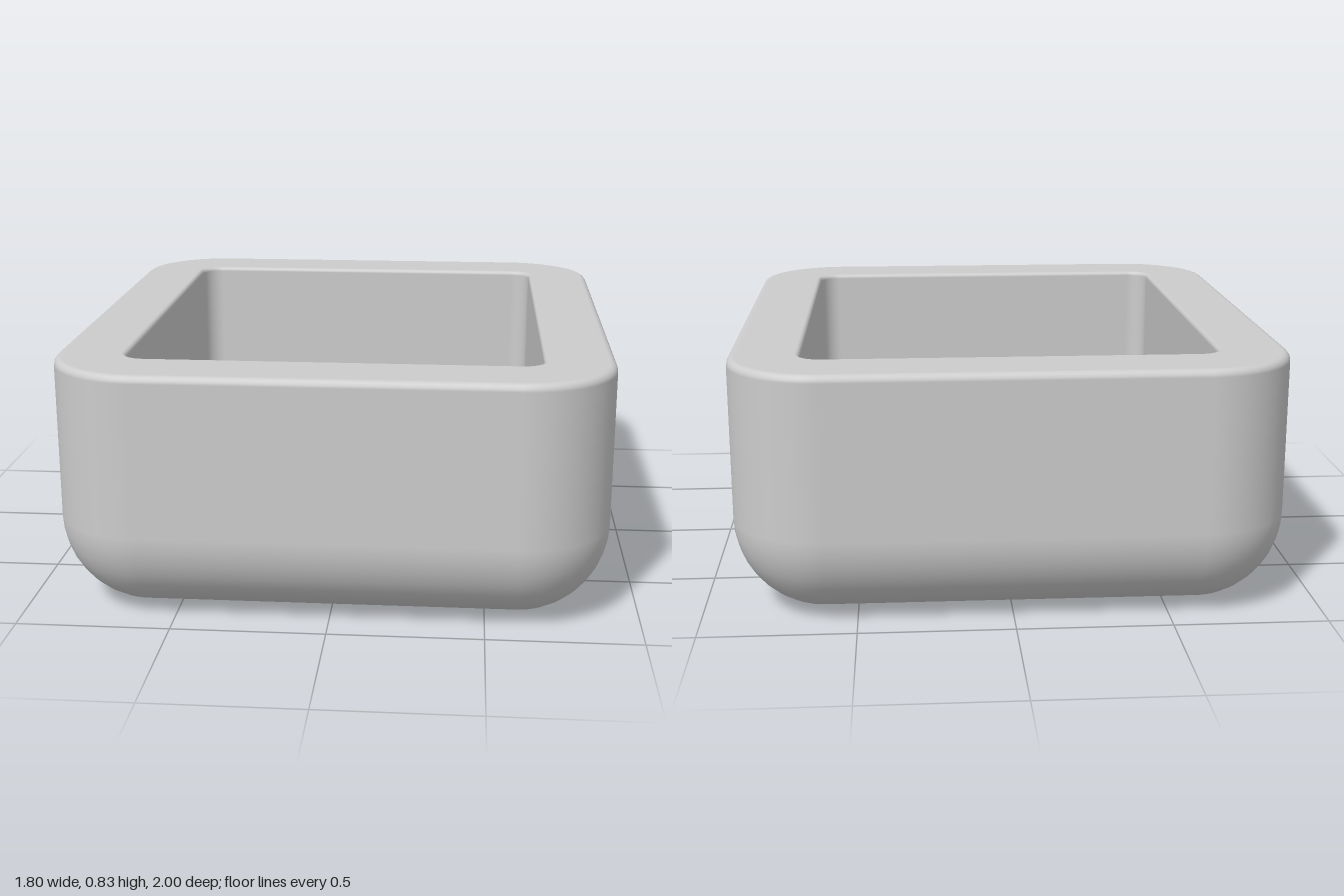
import * as THREE from 'three';

// Core rectangle whose rounded offsets form every cross-section of the tray
const CORE_X = 0.6, CORE_Z = 0.7;
const HEIGHT = 0.83, FLOOR = 0.22;
const OUTER = 0.3, INNER = 0.07, LIP_OUT = 0.025, LIP_IN = 0.015;
const CORNER_STEPS = 10;

// Profile of { r: offset from core, y, nr / ny: normal, k: core scale }
function trayProfile() {
  const rows = [];
  const flat = (ny, y) => rows.push({ r: 0, y, nr: 0, ny, k: 0 });
  // Arc around (cr, cy); sign -1 makes a concave fillet with normals inward
  const arc = (cr, cy, rad, from, to, steps, sign = 1) => {
    for (let i = 0; i <= steps; i++) {
      const a = THREE.MathUtils.degToRad(from + (to - from) * i / steps);
      const c = Math.cos(a), s = Math.sin(a);
      rows.push({ r: cr + rad * c, y: cy + rad * s, nr: sign * c, ny: sign * s, k: 1 });
    }
  };
  flat(-1, 0);                                                      // underside
  arc(0, OUTER, OUTER, -90, 0, 10);                                 // bottom rounding
  arc(OUTER - LIP_OUT, HEIGHT - LIP_OUT, LIP_OUT, 0, 90, 4);        // outer lip
  arc(INNER + LIP_IN, HEIGHT - LIP_IN, LIP_IN, 90, 180, 4);         // inner lip
  arc(0, FLOOR + INNER, INNER, 0, -90, 6, -1);                      // floor fillet
  flat(1, FLOOR);                                                   // inside floor
  return rows;
}

// Sweep the profile around the core rectangle
function sweepGeometry(rows) {
  const pos = [], nor = [], idx = [];
  const corners = [[1, 1], [-1, 1], [-1, -1], [1, -1]];
  const n = 4 * (CORNER_STEPS + 1);
  for (const { r, y, nr, ny, k } of rows) {
    corners.forEach(([sx, sz], q) => {
      for (let i = 0; i <= CORNER_STEPS; i++) {
        const a = (q + i / CORNER_STEPS) * Math.PI / 2;
        const c = Math.cos(a), s = Math.sin(a);
        pos.push(sx * CORE_X * k + r * c, y, sz * CORE_Z * k + r * s);
        nor.push(nr * c, ny, nr * s);
      }
    });
  }
  for (let i = 0; i < rows.length - 1; i++) {
    for (let j = 0; j < n; j++) {
      const a = i * n + j, d = i * n + (j + 1) % n;
      idx.push(a, a + n, d, d, a + n, d + n);
    }
  }
  const g = new THREE.BufferGeometry();
  g.setAttribute('position', new THREE.Float32BufferAttribute(pos, 3));
  g.setAttribute('normal', new THREE.Float32BufferAttribute(nor, 3));
  g.setIndex(idx);
  return g;
}

export function createModel() {
  const group = new THREE.Group();
  group.name = 'roundedTray';
  const grey = new THREE.MeshStandardMaterial({ color: 0xcccccc });
  grey.name = 'light grey';
  const tray = new THREE.Mesh(sweepGeometry(trayProfile()), grey);
  tray.name = 'trayBody';
  group.add(tray);
  return group;
}
